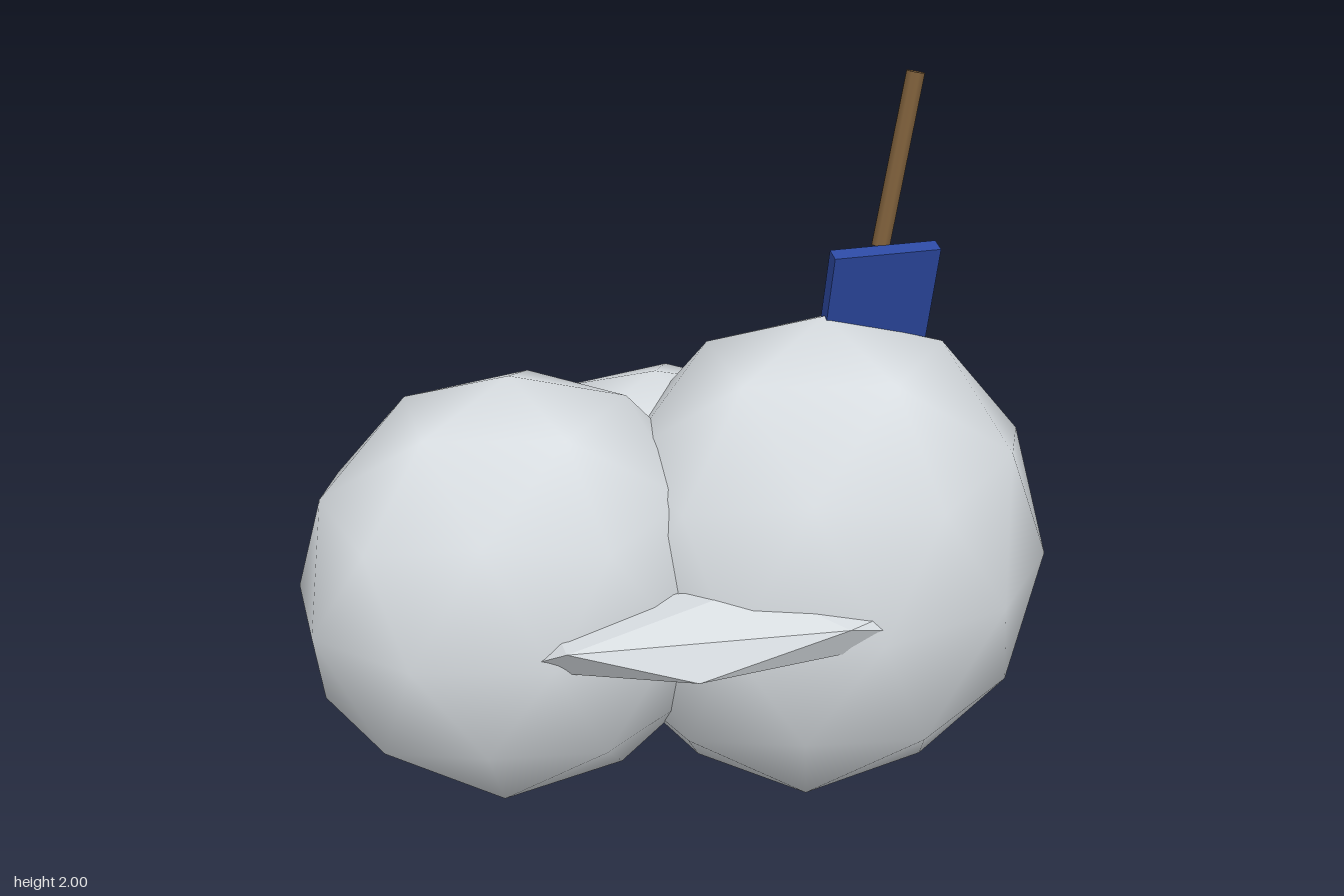
import * as THREE from 'three';

const snow = new THREE.MeshStandardMaterial({ color: 0xd8dde1 });
snow.name = 'snow';
const blue = new THREE.MeshStandardMaterial({ color: 0x2d4aa3 });
blue.name = 'bladeBlue';
const wood = new THREE.MeshStandardMaterial({ color: 0x7c5e3a });
wood.name = 'handleWood';

// Icosphere standing on a corner, one upper corner facing +x, stretched to the given radii
function lump(name, detail, radii, position) {
  const geometry = new THREE.IcosahedronGeometry(1, detail);
  geometry.rotateZ(-Math.atan2(1, (1 + Math.sqrt(5)) / 2));
  geometry.scale(...radii);
  const mesh = new THREE.Mesh(geometry, snow);
  mesh.name = name;
  mesh.position.set(...position);
  return mesh;
}

// Straight rod between two points
function rod(name, from, to, radius, material) {
  const a = new THREE.Vector3(...from);
  const b = new THREE.Vector3(...to);
  const direction = b.clone().sub(a);
  const geometry = new THREE.CylinderGeometry(radius, radius, direction.length(), 8);
  const mesh = new THREE.Mesh(geometry, material);
  mesh.name = name;
  mesh.position.copy(a).add(b).multiplyScalar(0.5);
  mesh.quaternion.setFromUnitVectors(new THREE.Vector3(0, 1, 0), direction.normalize());
  return mesh;
}

export function createModel() {
  const model = new THREE.Group();
  model.name = 'snowPile';

  // Smooth rounded mounds
  model.add(
    lump('largeMound', 1, [0.63, 0.69, 0.52], [0.385, 0.695, 0.07]),
    lump('mediumMound', 1, [0.58, 0.595, 0.47], [-0.435, 0.695, 0.02]),
    lump('backMound', 1, [0.53, 0.48, 0.42], [0, 0.695, -0.18]),
  );

  // Flat faceted ledge between the two front mounds
  model.add(lump('ledge', 0, [0.7, 0.1, 0.22], [0.095, 0.72, 0.413]));

  // Shovel stuck in the large mound
  const shovel = new THREE.Group();
  shovel.name = 'shovel';
  const bladeGeometry = new THREE.BoxGeometry(0.285, 0.36, 0.042);
  bladeGeometry.translate(0, -0.18, 0);
  const blade = new THREE.Mesh(bladeGeometry, blue);
  blade.name = 'shovelBlade';
  blade.position.set(0.528, 1.565, 0.112);
  blade.rotation.x = 0.25;
  shovel.add(blade, rod('shovelHandle', [0.53, 1.562, 0.07], [0.62, 1.995, 0.025], 0.025, wood));
  model.add(shovel);

  return model;
}
